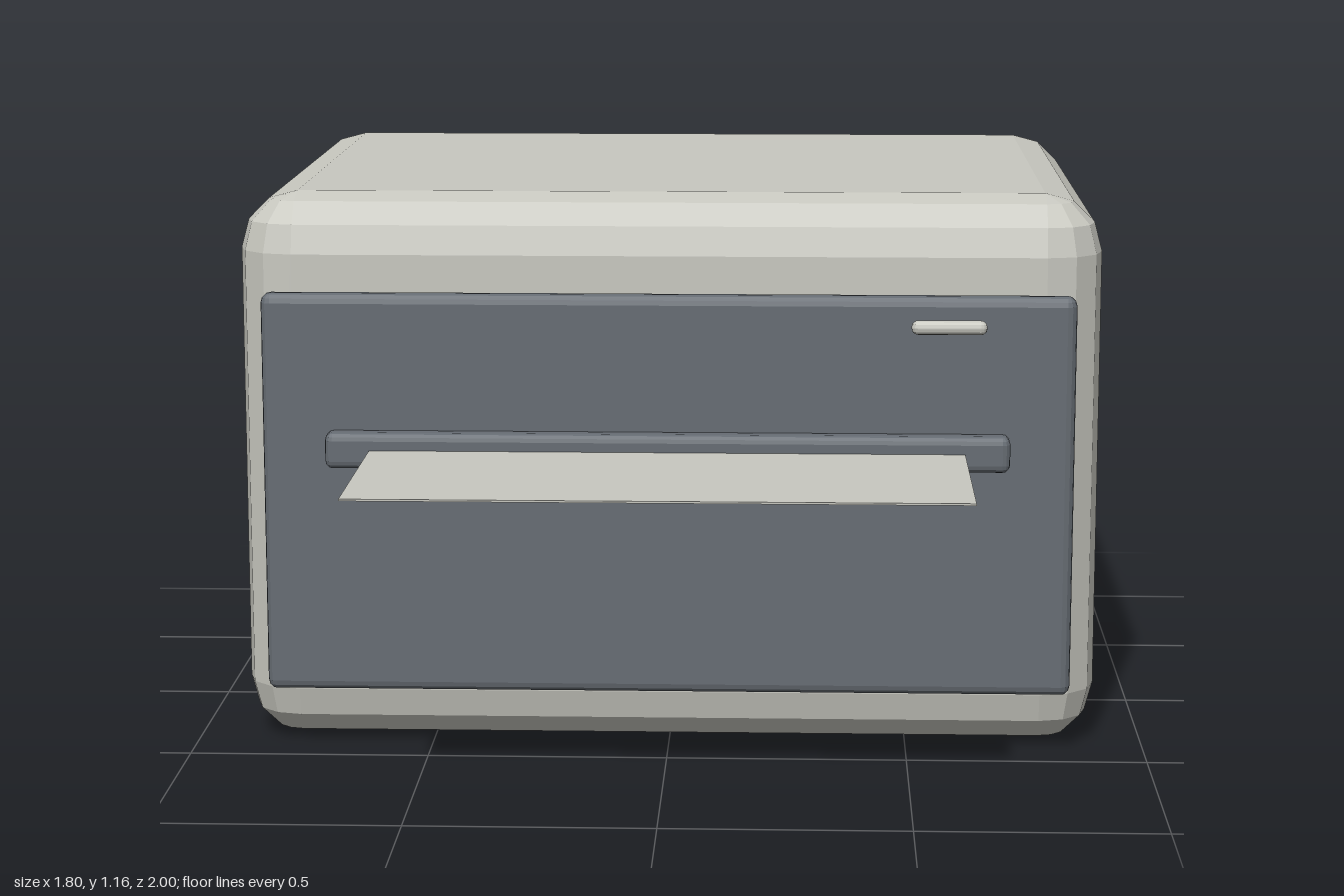
import * as THREE from 'three';
import { ConvexGeometry } from 'three/addons/geometries/ConvexGeometry.js';

const casing = new THREE.MeshStandardMaterial({ color: 0xc8c8c0, flatShading: true });
casing.name = 'warm light grey';
const dark = new THREE.MeshStandardMaterial({ color: 0x666c73, flatShading: true });
dark.name = 'slate grey';

// Box given by its extents, with edges rounded in equal facets
function roundedBox(min, max, r, facets = 3) {
  const lo = new THREE.Vector3(...min).addScalar(r);
  const hi = new THREE.Vector3(...max).subScalar(r);
  const points = [];
  for (const sx of [-1, 1]) for (const sy of [-1, 1]) for (const sz of [-1, 1]) {
    for (let i = 0; i <= facets; i++) {
      const lat = (i / facets) * Math.PI / 2;
      const turns = i === facets ? 0 : facets;
      for (let j = 0; j <= turns; j++) {
        const lon = (j / facets) * Math.PI / 2;
        points.push(new THREE.Vector3(
          (sx > 0 ? hi.x : lo.x) + sx * r * Math.cos(lat) * Math.cos(lon),
          (sy > 0 ? hi.y : lo.y) + sy * r * Math.sin(lat),
          (sz > 0 ? hi.z : lo.z) + sz * r * Math.cos(lat) * Math.sin(lon)));
      }
    }
  }
  return new ConvexGeometry(points);
}

export function createModel() {
  const group = new THREE.Group();
  group.name = 'printer';
  const add = (name, geometry, material) => {
    const mesh = new THREE.Mesh(geometry, material);
    mesh.name = name;
    group.add(mesh);
    return mesh;
  };

  // Main casing
  add('body', roundedBox([-0.9, 0, -1], [0.9, 1.165, 0.417], 0.12), casing);
  // Front plate and the lip around the paper exit
  add('frontPanel', roundedBox([-0.84, 0.13, 0.415], [0.84, 0.97, 0.467], 0.02), dark);
  add('outputSlot', roundedBox([-0.705, 0.612, 0.455], [0.705, 0.687, 0.513], 0.016), dark);
  // Small pill-shaped button
  add('button', roundedBox([0.5, 0.896, 0.468], [0.655, 0.925, 0.5], 0.0135), casing);
  // Sheet coming out of the slot
  const paper = add('paper', new THREE.BoxGeometry(1.225, 0.004, 0.52), casing);
  paper.position.set(0, 0.65, 0.74);

  return group;
}
